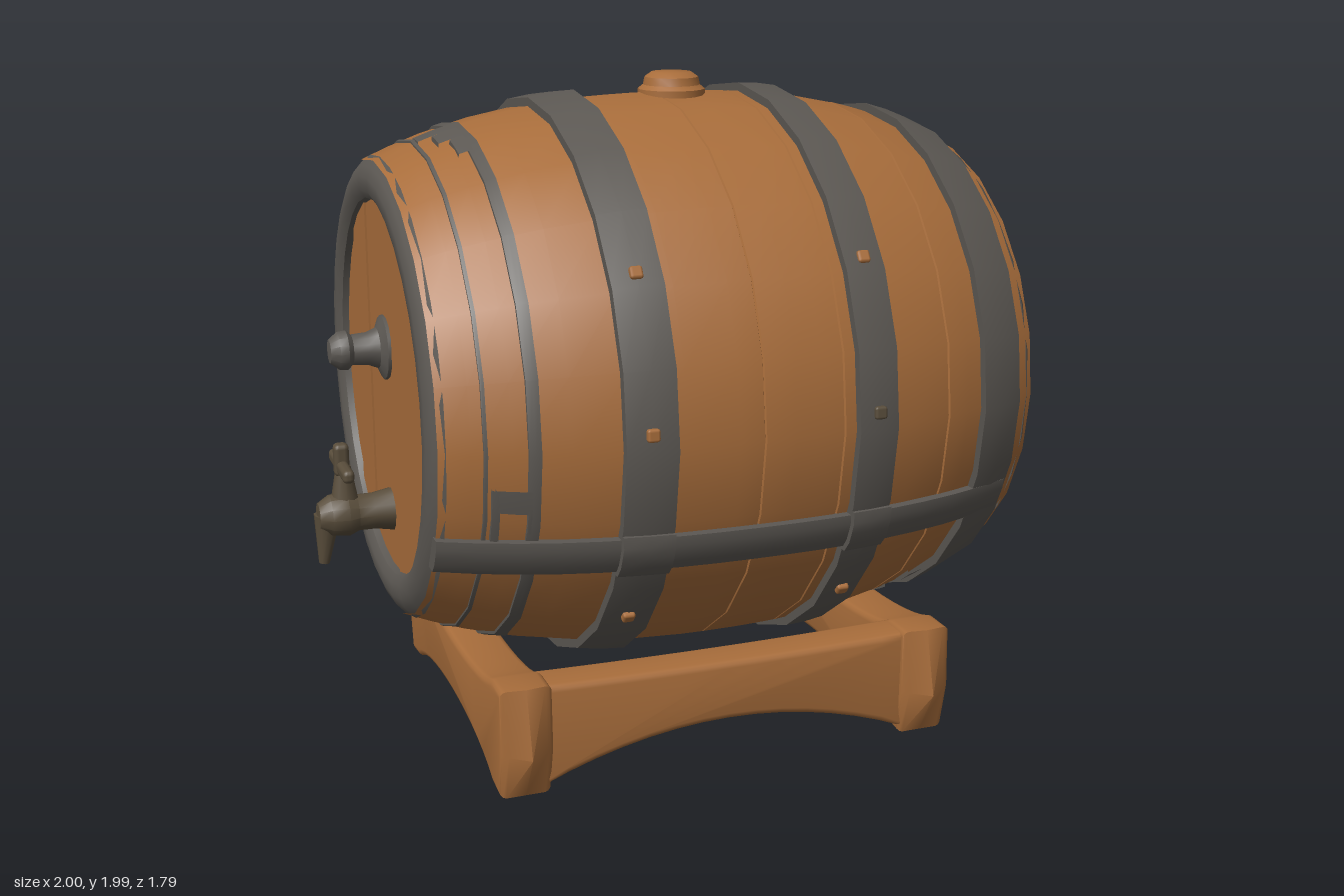
import * as THREE from 'three';
import { toCreasedNormals } from 'three/addons/utils/BufferGeometryUtils.js';
import { RoundedBoxGeometry } from 'three/addons/geometries/RoundedBoxGeometry.js';

const material = (name, color) => Object.assign(new THREE.MeshStandardMaterial({ color }), { name });
const wood = material('oak wood', 0xa86d3b);
const iron = material('dark iron', 0x5c5853);
const brass = material('aged brass', 0x594d3b);

const MID = 0.1;       // middle of the barrel along x
const AXIS = 1.1;      // height of the barrel axis
const WIDE = 1.05;     // the barrel is slightly wider than tall
const SIDES = 24;

const add = (parent, name, geo, mat, x = 0, y = 0, z = 0) => {
  const mesh = new THREE.Mesh(geo, mat);
  mesh.name = name;
  mesh.position.set(x, y, z);
  parent.add(mesh);
  return mesh;
};

// Radius of the stave surface at x, and its z at a height above the axis
const radius = x => 0.832 - 0.173 * Math.abs((x - MID) / 0.9) ** 2.4;
const surfaceZ = (x, dy, lift = 0) => WIDE * Math.sqrt((radius(x) + lift) ** 2 - dy * dy);

// Profile of [x, radius] points turned around the x axis
function turned(profile, sides = SIDES, start = 0, length = Math.PI * 2) {
  const geo = new THREE.LatheGeometry(profile.map(([x, r]) => new THREE.Vector2(r, x)), sides, start, length);
  return toCreasedNormals(geo.rotateZ(-Math.PI / 2), 0.6);
}

// Closed band lying on the staves between x0 and x1
function band(x0, x1, lift, start, length) {
  const xm = (x0 + x1) / 2;
  const profile = [
    [x0, radius(x0) - 0.02], [x0, radius(x0) + lift], [xm, radius(xm) + lift * 1.08],
    [x1, radius(x1) + lift], [x1, radius(x1) - 0.02],
  ];
  return turned(profile, length ? 4 : SIDES, start, length);
}

// Horizontal strap that follows the staves between x0 and x1
function strap(x0, x1, height, depth, side) {
  const geo = new THREE.BoxGeometry(x1 - x0, height, depth, Math.ceil((x1 - x0) * 9), 4, 2);
  const p = geo.attributes.position;
  for (let i = 0; i < p.count; i++) {
    const x = p.getX(i) + (x0 + x1) / 2, dy = p.getY(i) - 0.3;
    const round = Math.abs(p.getY(i)) > height * 0.4 ? 0.75 : 1;
    p.setXYZ(i, x, dy, p.getZ(i) * round + side * surfaceZ(x, dy));
  }
  return toCreasedNormals(geo, 0.8);
}

// Vertical head boards, clipped to a disc
function buildHead(parent, side) {
  const r = 0.58, edges = [-0.575, -0.38, -0.2, 0.1, 0.575];
  const depths = [0.03, 0.036, 0.03, 0.034];
  const head = new THREE.Group();
  head.name = side > 0 ? 'leftHead' : 'rightHead';
  depths.forEach((depth, i) => {
    const a1 = Math.acos(edges[i + 1] / r), a0 = Math.acos(edges[i] / r), pts = [];
    for (let k = 0; k <= 8; k++) {
      const a = a1 + (a0 - a1) * k / 8;
      pts.push(new THREE.Vector2(r * Math.cos(a), r * Math.sin(a)));
    }
    for (let k = 8; k >= 0; k--) pts.push(new THREE.Vector2(pts[k].x, -pts[k].y));
    add(head, 'headBoard', new THREE.ExtrudeGeometry(new THREE.Shape(pts), { depth, bevelEnabled: false }), wood);
  });
  head.rotation.y = side * Math.PI / 2;
  head.position.x = MID + side * 0.835;
  parent.add(head);
}

function buildBarrel() {
  const barrel = new THREE.Group();
  barrel.name = 'barrel';
  barrel.position.y = AXIS;
  const body = new THREE.Group();
  body.name = 'barrelBody';
  body.scale.z = WIDE;
  barrel.add(body);

  // Staves, with fine grooves running round them
  const stations = [-0.78, -0.7, -0.6, -0.45, -0.3, -0.15, 0, 0.16, 0.24, 0.4, 0.52, 0.72, 0.82, 0.9, 0.98]
    .map(x => [x, radius(x)]);
  for (const x of [0.07, 0.305, 0.65]) {
    stations.push([x - 0.003, radius(x)], [x, radius(x) - 0.006], [x + 0.003, radius(x)]);
  }
  add(body, 'staves', turned(stations.sort((a, b) => a[0] - b[0])), wood);

  // Broad hoops
  for (const [x0, x1] of [[-0.32, -0.18], [0.34, 0.46], [0.77, 0.91]]) {
    add(body, 'hoop', band(x0, x1, 0.025), iron);
  }

  // Worn hoop near the taps and worn spots: x range, then angle range from the front
  add(body, 'wornHoopEdge', band(-0.67, -0.66, 0.005), iron);
  add(body, 'wornHoopEdge', band(-0.56, -0.528, 0.007), iron);
  const up = -Math.PI / 2;
  const patches = [
    [-0.65, -0.63, 0.13, 0.22], [-0.64, -0.55, 0.13, 0.09], [-0.56, -0.55, 0.2, 0.1],
    [-0.66, -0.55, up - 0.02, 0.09], [-0.62, -0.55, up + 0.07, 0.11], [-0.59, -0.55, up + 0.18, 0.14],
    [0.72, 0.78, 0.9, 0.12], [0.68, 0.78, 1.02, 0.22],
    [0.72, 0.78, Math.PI - 1.02, 0.12], [0.68, 0.78, Math.PI - 1.24, 0.22],
  ];
  for (const [x0, x1, start, length] of patches) {
    add(body, 'wornHoopPatch', band(x0, x1, 0.007, start, length), iron);
  }

  // Rounded rims and recessed heads
  const rim = [
    [0.85, 0.548], [0.885, 0.555], [0.9, 0.578], [0.9, 0.618], [0.888, 0.648], [0.86, 0.678], [0.86, 0.64],
  ];
  for (const side of [1, -1]) {
    const path = rim.map(([x, r]) => [MID + side * x, r]);
    add(body, 'rim', turned(side > 0 ? path.reverse() : path, 32), iron);
    buildHead(body, side);
  }

  // Straps along both sides, with the hoops lapping over them
  for (const side of [1, -1]) {
    add(barrel, 'sideStrap', strap(-0.785, 0.9, 0.105, 0.064, side), iron);
    for (const [x0, x1] of [[-0.32, -0.18], [0.34, 0.46]]) {
      add(barrel, 'strapLap', strap(x0, x1, 0.13, 0.1, side), iron);
    }
  }

  // Studs on the front of the middle hoops
  for (const x of [-0.25, 0.4]) {
    for (const dy of [0.45, 0.05, -0.53]) {
      const mat = x > 0 && dy === 0.05 ? brass : wood;
      const stud = add(barrel, 'stud', new RoundedBoxGeometry(0.036, 0.036, 0.03, 1, 0.008), mat,
        x, dy, surfaceZ(x, dy, 0.02));
      stud.rotation.x = -Math.asin(dy / 0.85);
    }
  }

  // Bung on top
  const bung = [[0, 0.8], [0.1, 0.8], [0.1, 0.84], [0.085, 0.852], [0.08, 0.875], [0.06, 0.889], [0, 0.892]];
  const bungGeo = new THREE.LatheGeometry(bung.map(([r, y]) => new THREE.Vector2(r, y)), 16);
  add(barrel, 'bung', toCreasedNormals(bungGeo, 0.6), wood, 0.125, 0, 0);
  return barrel;
}

function buildTaps() {
  const taps = new THREE.Group();
  taps.name = 'taps';

  // Upper plug
  const plug = [
    [-0.935, 0], [-0.93, 0.035], [-0.905, 0.055], [-0.88, 0.058], [-0.865, 0.045],
    [-0.82, 0.048], [-0.79, 0.06], [-0.775, 0.095], [-0.74, 0.095],
  ];
  add(taps, 'plug', turned(plug, 14), iron, 0, 1.22, 0);

  // Lower tap: pipe, valve, spout and cross handle
  const pipe = [
    [-0.99, 0], [-0.985, 0.04], [-0.95, 0.062], [-0.9, 0.068], [-0.87, 0.055], [-0.82, 0.055], [-0.74, 0.07],
  ];
  add(taps, 'tapPipe', turned(pipe, 12), brass, 0, 0.72, 0);
  const spout = add(taps, 'tapSpout', new THREE.CylinderGeometry(0.04, 0.016, 0.15, 10), brass, -0.967, 0.648, 0);
  spout.rotation.z = -0.1;
  add(taps, 'tapStem', new THREE.CylinderGeometry(0.022, 0.04, 0.1, 10), brass, -0.905, 0.82, 0);
  add(taps, 'handlePost', new RoundedBoxGeometry(0.045, 0.1, 0.045, 2, 0.015), brass, -0.91, 0.89, 0);
  add(taps, 'handleBar', new RoundedBoxGeometry(0.035, 0.04, 0.25, 2, 0.015), brass, -0.91, 0.87, 0);
  return taps;
}

// Soft-edged beam cut from a shape; beyond the limit its ends swell only at mid thickness
function beam(shape, thick, limit) {
  const b = 0.02;
  const geo = new THREE.ExtrudeGeometry(shape, {
    depth: thick - 2 * b, steps: 2, curveSegments: 14,
    bevelThickness: b, bevelSize: b, bevelOffset: -b, bevelSegments: 3,
  }).translate(0, 0, b - thick / 2);
  const p = geo.attributes.position;
  for (let i = 0; i < p.count; i++) {
    const x = p.getX(i), excess = Math.max(0, Math.abs(x) - limit);
    p.setX(i, x - Math.sign(x) * excess * Math.abs(p.getZ(i)) / thick * 1.8);
  }
  return toCreasedNormals(geo, 0.95);
}

function buildCradle() {
  const cradle = new THREE.Group();
  cradle.name = 'cradle';

  // Cross beams with swelling feet, arched below and hollowed for the barrel
  const cross = new THREE.Shape();
  cross.moveTo(-0.56, 0.005);
  cross.lineTo(-0.47, 0.015);
  cross.bezierCurveTo(-0.28, 0.12, 0.28, 0.12, 0.47, 0.015);
  cross.lineTo(0.56, 0.005);
  cross.lineTo(0.64, 0.15);
  cross.lineTo(0.585, 0.345);
  cross.lineTo(0.48, 0.345);
  cross.bezierCurveTo(0.3, 0.265, -0.3, 0.265, -0.48, 0.345);
  cross.lineTo(-0.585, 0.345);
  cross.lineTo(-0.64, 0.15);
  cross.closePath();
  for (const x of [-0.52, 0.746]) {
    add(cradle, 'crossBeam', beam(cross, 0.155, 0.575), wood, x).rotation.y = Math.PI / 2;
  }

  // Arched long rails joining the feet
  const long = new THREE.Shape();
  long.moveTo(-0.58, 0.02);
  long.quadraticCurveTo(0, 0.265, 0.58, 0.02);
  long.lineTo(0.58, 0.335);
  long.quadraticCurveTo(0, 0.32, -0.58, 0.335);
  long.closePath();
  for (const side of [1, -1]) add(cradle, 'longRail', beam(long, 0.13, 0.58), wood, 0.11, 0, side * 0.5);
  return cradle;
}

export function createModel() {
  const model = new THREE.Group();
  model.name = 'barrelOnCradle';
  model.add(buildBarrel(), buildTaps(), buildCradle());
  return model;
}
